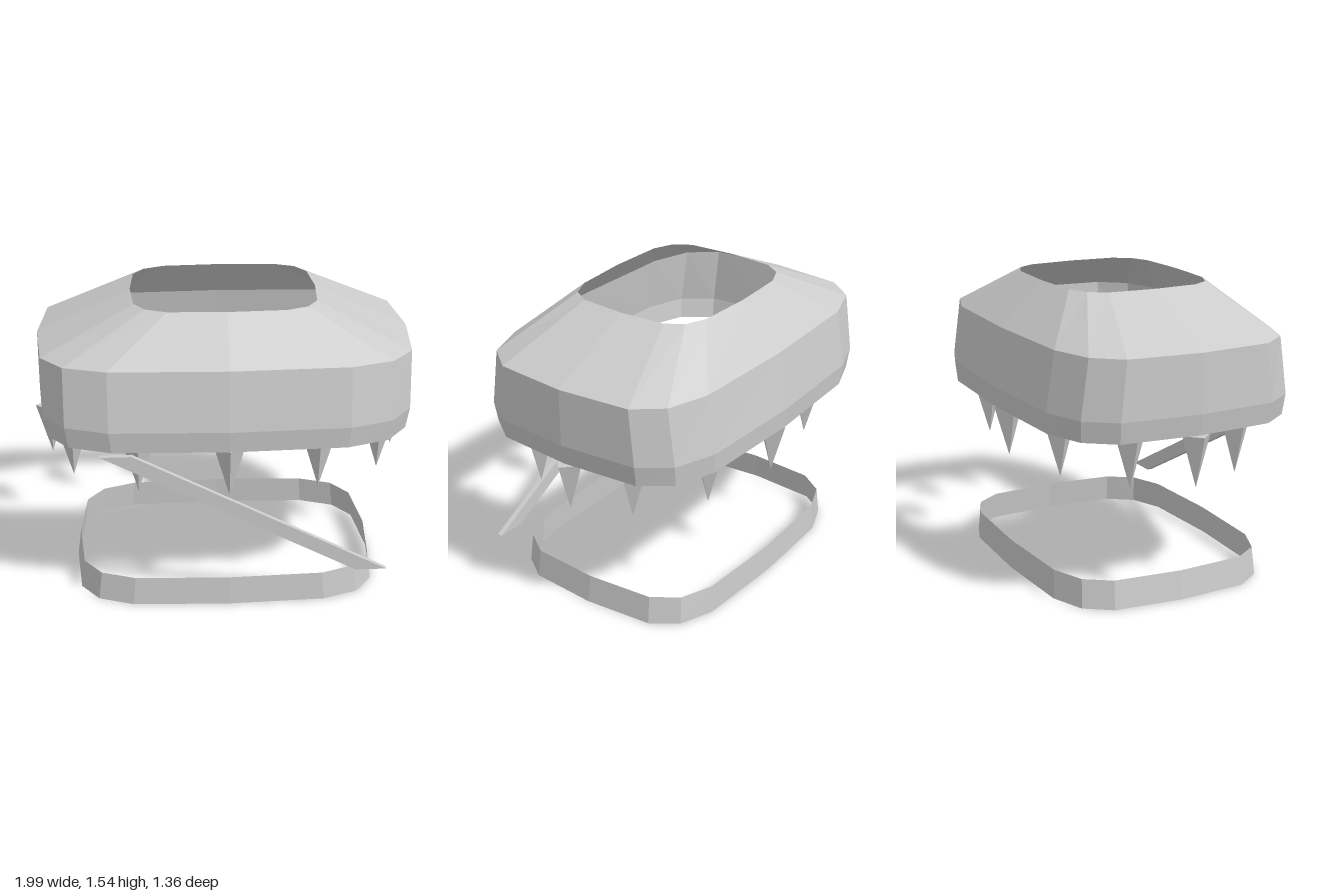
import * as THREE from 'three';

const material = new THREE.MeshStandardMaterial({ color: 0xcccccc, flatShading: true, side: THREE.DoubleSide });

// One quarter of the rounded outline, as fractions of half width and half depth
const QUARTER = [[1, 0], [0.963, 0.617], [0.845, 0.845], [0.62, 0.963], [1e-9, 1]];

// Full 16-point outline, mirrored from the quarter
function outline() {
  const q = QUARTER;
  const back = q.slice(0, 4).reverse().map(([x, z]) => [-x, z]);
  const half = [...q, ...back];
  return [...half, ...half.slice(1, -1).reverse().map(([x, z]) => [x, -z])];
}

// Open band lofted through levels of [y, halfWidth, halfDepth]
function band(name, levels) {
  const ring = outline();
  const n = ring.length;
  const positions = [];
  const index = [];
  levels.forEach(([y, w, d]) => ring.forEach(([x, z]) => positions.push(x * w, y, z * d)));
  for (let l = 0; l < levels.length - 1; l++) {
    for (let i = 0; i < n; i++) {
      const a = l * n + i;
      const b = l * n + (i + 1) % n;
      index.push(a, a + n, b, b, a + n, b + n);
    }
  }
  const geometry = new THREE.BufferGeometry();
  geometry.setAttribute('position', new THREE.Float32BufferAttribute(positions, 3));
  geometry.setIndex(index);
  geometry.computeVertexNormals();
  const mesh = new THREE.Mesh(geometry, material);
  mesh.name = name;
  return mesh;
}

// Twelve four-sided spikes hanging on an ellipse under the shell
function spikes() {
  const group = new THREE.Group();
  group.name = 'spikes';
  const geometry = new THREE.ConeGeometry(0.08, 0.27, 4).rotateX(Math.PI);
  for (let i = 0; i < 12; i++) {
    const angle = i * Math.PI / 6;
    const spike = new THREE.Mesh(geometry, material);
    spike.name = 'spike' + (i + 1);
    spike.position.set(0.917 * Math.cos(angle), 0.765, 0.595 * Math.sin(angle));
    group.add(spike);
  }
  return group;
}

// Slanted flat strap across the front
function strap() {
  const corners = [[-0.65, 0.865], [0.655, 0.19], [0.815, 0.19], [-0.49, 0.865]];
  const shape = new THREE.Shape(corners.map(([x, y]) => new THREE.Vector2(x, y)));
  const geometry = new THREE.ExtrudeGeometry(shape, { depth: 0.029, bevelEnabled: false });
  const mesh = new THREE.Mesh(geometry, material);
  mesh.name = 'strap';
  mesh.position.z = 0.587;
  return mesh;
}

export function createModel() {
  const model = new THREE.Group();
  model.add(
    band('shell', [[0.902, 0.95, 0.67], [1.012, 0.97, 0.68], [1.315, 0.97, 0.63], [1.54, 0.482, 0.398]]),
    band('baseRing', [[0, 0.805, 0.6], [0.15, 0.785, 0.59]]),
    spikes(),
    strap(),
  );
  return model;
}
